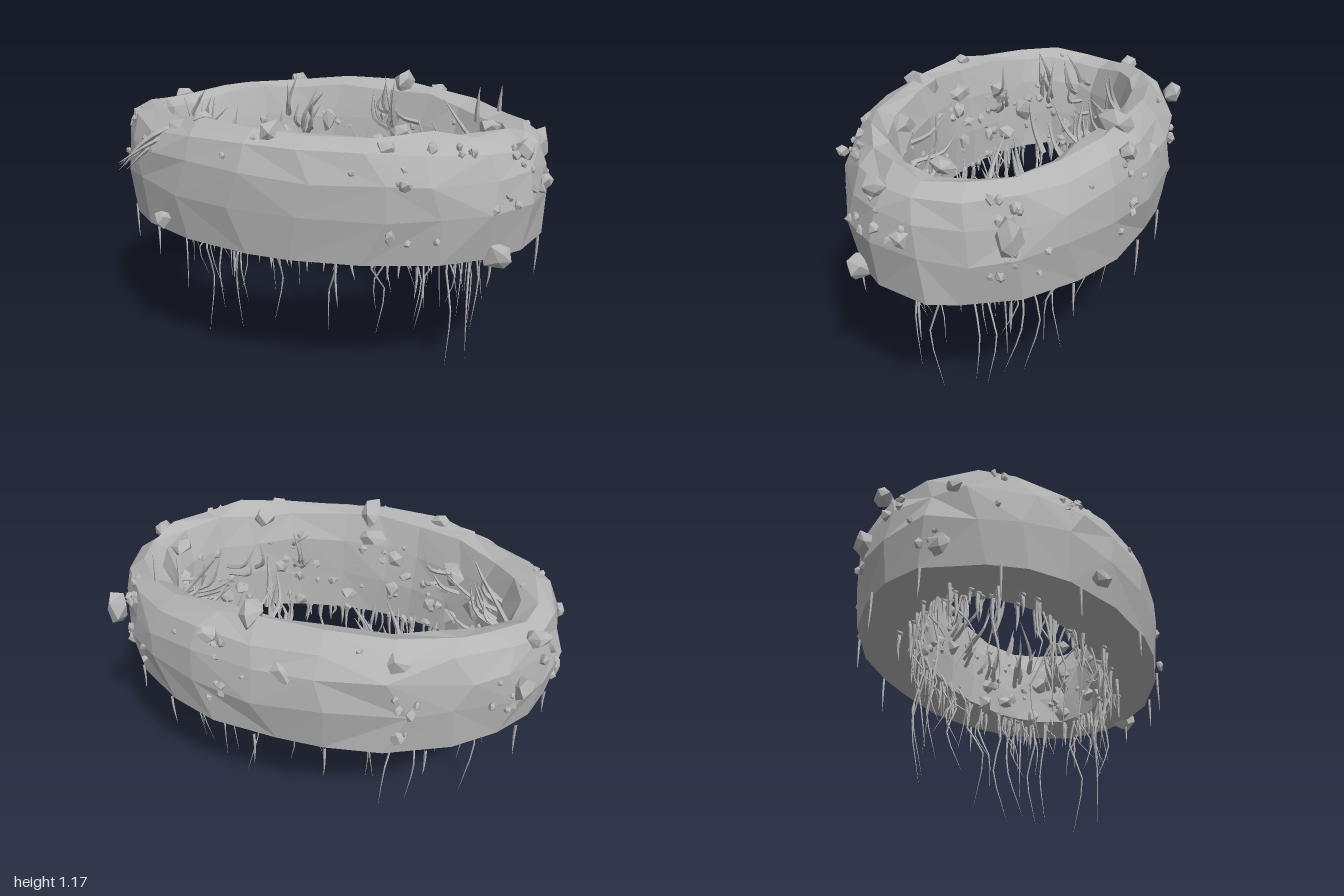
import * as THREE from 'three';
import { mergeGeometries } from 'three/addons/utils/BufferGeometryUtils.js';
import { ConvexGeometry } from 'three/addons/geometries/ConvexGeometry.js';

let seed = 7;
const rnd = () => {
  seed = (seed * 16807) % 2147483647;
  return seed / 2147483647;
};
const spread = (s) => (rnd() * 2 - 1) * s;
const V = (x, y, z) => new THREE.Vector3(x, y, z);

// Cross-section: inset from the outer ellipse, and height (0 = underside, 1 = crest)
const OUTER_X = 0.96, OUTER_Z = 0.645, BASE = 0.615;
const PROFILE = [
  [0.025, 0], [0, 0.4], [0.012, 0.68], [0.05, 0.88], [0.12, 1],
  [0.19, 0.94], [0.235, 0.68], [0.265, 0.35], [0.275, 0],
];
const crest = (a) => 0.475 - 0.025 * Math.cos(2 * a) + 0.012 * Math.sin(3 * a);

// Point on the ring at angle a and profile position k
function surface(a, k) {
  const i = Math.min(Math.floor(k), PROFILE.length - 2), f = k - i;
  const inset = THREE.MathUtils.lerp(PROFILE[i][0], PROFILE[i + 1][0], f);
  const h = THREE.MathUtils.lerp(PROFILE[i][1], PROFILE[i + 1][1], f);
  return V((OUTER_X - inset) * Math.cos(a), BASE + h * crest(a), (OUTER_Z - inset) * Math.sin(a));
}

// Faceted, uneven ring with a flat underside
function ringGeometry() {
  const SEG = 22, N = PROFILE.length, rows = [];
  for (let s = 0; s < SEG; s++) {
    const a0 = (s / SEG) * Math.PI * 2;
    rows.push(PROFILE.map((_, k) => {
      const edge = k === 0 || k === N - 1;
      const p = surface(a0 + spread(0.06), k);
      const m = 1 + spread(0.014);
      return V(p.x * m, edge ? BASE : p.y + spread(0.018), p.z * m);
    }));
  }
  const pos = [];
  const tri = (...c) => c.forEach((p) => pos.push(p.x, p.y, p.z));
  for (let s = 0; s < SEG; s++) {
    const A = rows[s], B = rows[(s + 1) % SEG];
    for (let k = 0; k < N; k++) {
      const n = (k + 1) % N;
      if (rnd() < 0.5) { tri(A[k], A[n], B[n]); tri(A[k], B[n], B[k]); }
      else { tri(A[k], A[n], B[k]); tri(B[k], A[n], B[n]); }
    }
  }
  const g = new THREE.BufferGeometry();
  g.setAttribute('position', new THREE.Float32BufferAttribute(pos, 3));
  g.computeVertexNormals();
  return g;
}

// Angular boulder: hull of jittered points on an ellipsoid
function rock(p, sx, sy = sx, sz = sx, count = 13) {
  const pts = [];
  const turn = new THREE.Euler(spread(0.5), spread(3), spread(0.5));
  for (let i = 0; i < count; i++) {
    const y = 1 - (2 * (i + 0.5)) / count, r = Math.sqrt(1 - y * y), a = i * 2.4 + spread(0.35);
    const q = V(r * Math.cos(a), y, r * Math.sin(a)).multiplyScalar(0.9 + spread(0.14));
    if (sx === sz) q.applyEuler(turn);
    pts.push(q.multiply(V(sx, sy, sz)).add(p));
  }
  return new ConvexGeometry(pts);
}

// Strand that tapers to a point along a path
function strand(points, radius, sides = 4) {
  const path = new THREE.CatmullRomCurve3(points), n = 7;
  const g = new THREE.TubeGeometry(path, n, radius, sides);
  const pos = g.attributes.position, v = V();
  for (let i = 0; i < pos.count; i++) {
    const t = Math.floor(i / (sides + 1)) / n, c = path.getPointAt(t);
    v.fromBufferAttribute(pos, i).sub(c).multiplyScalar(1 - 0.95 * t * t).add(c);
    pos.setXYZ(i, v.x, v.y, v.z);
  }
  return g;
}

export function createModel() {
  seed = 7;
  const group = new THREE.Group();
  group.name = 'rockRing';
  const stone = new THREE.MeshStandardMaterial({ color: 0xb4b4b4, flatShading: true });
  stone.name = 'grey stone';
  const add = (name, geometries) => {
    const m = new THREE.Mesh(mergeGeometries(geometries), stone);
    m.name = name;
    group.add(m);
  };
  add('ring', [ringGeometry()]);

  // Large boulders: x, y, z, then half sizes
  const boulders = [
    [-0.04, 1.07, 0.49, 0.065, 0.07, 0.1], [0.2, 1.12, -0.49, 0.05, 0.07, 0.1],
    [0.87, 0.92, -0.33, 0.05, 0.09, 0.06], [0.82, 0.63, 0.31, 0.065, 0.065, 0.065],
    [0.95, 0.87, 0.05, 0.035, 0.045, 0.045], [0.88, 1.02, 0.18, 0.05, 0.05, 0.05],
    [0.43, 1.08, 0.32, 0.055, 0.05, 0.05], [0.42, 1.06, 0.49, 0.05, 0.035, 0.035],
    [-0.08, 1.04, 0.33, 0.08, 0.04, 0.05], [-0.39, 1.07, -0.58, 0.06, 0.05, 0.045],
    [0.34, 1.07, -0.59, 0.055, 0.04, 0.04], [-0.86, 1.03, -0.24, 0.055, 0.04, 0.05],
    [-0.53, 0.68, 0.55, 0.045, 0.045, 0.045], [-0.49, 1.04, 0.44, 0.07, 0.05, 0.05],
    [0.52, 0.95, 0.56, 0.032, 0.032, 0.03], [0.47, 0.75, 0.58, 0.025, 0.035, 0.02],
    [-0.93, 0.95, 0.1, 0.03, 0.04, 0.04], [-0.96, 0.68, 0.06, 0.03, 0.05, 0.05],
    [0.8, 0.97, 0.2, 0.06, 0.03, 0.09], [0.7, 1.06, 0.0, 0.05, 0.035, 0.06],
    [-0.37, 1.1, 0.45, 0.05, 0.035, 0.04], [0.05, 0.95, -0.6, 0.07, 0.07, 0.05],
    [-0.4, 0.7, -0.56, 0.045, 0.045, 0.04], [-0.84, 0.85, -0.33, 0.05, 0.06, 0.05],
  ];
  add('boulders', boulders.map(([x, y, z, ...s]) => rock(V(x, y, z), ...s, 12)));

  // Rubble covering the inner wall, thickest towards the bottom
  const rubble = [];
  for (let i = 0; i < 130; i++) {
    const r = 0.012 + 0.038 * rnd() ** 2;
    const p = surface(rnd() * Math.PI * 2, 5.6 + 2.3 * rnd() ** 0.8);
    rubble.push(rock(p, r * 1.15, r * (0.8 + rnd() * 0.8), r * 1.15, 10));
  }
  add('innerRubble', rubble);

  // Small stones in clusters over the outside
  const pebbles = [];
  const clusters = [[-0.45, 0.9], [-0.5, 3], [-1.2, 1], [0.35, 2.8], [0.5, 1.2], [3.4, 2.2],
    [3.8, 1], [2.7, 3.2], [4.3, 1.4], [5, 2.3], [0.15, 1.8], [5.7, 2.6], [3.14, 0.6], [0.75, 3.2]];
  for (const [a, k] of clusters) {
    for (let i = 0; i < 4; i++) {
      const r = 0.012 + 0.016 * rnd();
      pebbles.push(rock(surface(a + spread(0.12), Math.max(0, k + spread(0.4))), r, r * 1.2, r, 9));
    }
  }
  for (let i = 0; i < 22; i++) pebbles.push(rock(surface(rnd() * 6.28, 0.3 + rnd() * 5), 0.016, 0.018, 0.016, 9));
  add('pebbles', pebbles);

  // Chips and short stalactites along the underside
  const chips = [], spikes = [];
  for (let i = 0; i < 110; i++) {
    const a = rnd() * Math.PI * 2, p = surface(a, 8);
    const m = 1 + 0.2 * rnd() ** 2;
    p.set(p.x * m, BASE, p.z * m);
    if (i % 2) chips.push(rock(p, 0.014 + 0.014 * rnd(), 0.026, 0.018, 9));
    const len = 0.05 + 0.11 * rnd();
    spikes.push(strand([p, V(p.x + spread(0.008), BASE - len * 0.5, p.z + spread(0.008)),
      V(p.x + spread(0.015), BASE - len, p.z)], 0.009));
  }
  for (let i = 0; i < 14; i++) {
    const p = surface(i * 0.45 + spread(0.1), 0);
    spikes.push(strand([p, V(p.x, 0.55, p.z), V(p.x + spread(0.01), 0.43 + 0.07 * rnd(), p.z)], 0.006));
  }
  add('undersideChips', chips);
  add('stalactites', spikes);

  // Long hanging roots: x, side (front +1 or back -1), tip height
  const roots = [
    [-0.66, -1, 0.02], [-0.64, 1, 0.15], [-0.47, 1, 0.03], [-0.42, -1, 0.02], [-0.4, 1, 0.17],
    [-0.31, -1, 0.02], [-0.28, 1, 0.1], [-0.27, -1, 0.18], [-0.22, -1, 0.15], [-0.1, 1, 0.18],
    [0.0, -1, 0.35], [0.11, -1, 0.2], [0.16, 1, 0.17], [0.31, -1, 0.1], [0.35, 1, 0.18],
    [0.38, -1, 0.16], [0.47, -1, 0.05], [0.5, 1, 0.2], [0.55, -1, 0.09], [0.6, -1, 0.2],
    [0.61, 1, 0.04], [0.64, -1, 0.06], [0.68, 1, 0.01], [0.68, -1, 0.08],
  ];
  const hanging = [];
  const hang = (x, side, tip, radius) => {
    const z = side * 0.375 * Math.sqrt(Math.max(0, 1 - (x / 0.7) ** 2));
    const pts = [0, 0.3, 0.55, 1].map((t) =>
      V(x + spread(0.03) * (t > 0), THREE.MathUtils.lerp(0.65, tip, t), z * (1 - 0.08 * t) + spread(0.045) * (t > 0)));
    hanging.push(strand(pts, radius));
  };
  for (const [x, side, tip] of roots) hang(x, side, tip, 0.0055);
  for (let i = 0; i < 40; i++) hang(0.7 * Math.cos(rnd() * Math.PI), i % 2 ? 1 : -1, 0.25 + 0.2 * rnd(), 0.005);
  add('hangingRoots', hanging);

  // Tufts of curved blades leaning in from the inner wall: angle, blade count
  const blades = [];
  const tufts = [[-2.05, 9], [-1.3, 8], [-1.0, 5], [2.75, 6], [2.3, 4], [1.1, 4], [-0.05, 7], [3.3, 6], [0.7, 3], [-0.5, 5]];
  for (const [a, count] of tufts) {
    for (let i = 0; i < count; i++) {
      const p = surface(a + spread(0.15), 6.4 + spread(0.6));
      const lean = 0.05 + 0.13 * rnd(), up = 0.08 + 0.16 * rnd();
      const inward = V(-p.x * 0.7, 0, -p.z).normalize();
      const mid = p.clone().addScaledVector(inward, lean * 0.75).add(V(spread(0.03), up * 0.35, 0));
      const tip = p.clone().addScaledVector(inward, lean).add(V(spread(0.07), up, spread(0.03)));
      blades.push(strand([p, mid, tip], 0.011));
    }
  }
  // Crest thorns
  for (const [x, y, z] of [[0.24, 1.06, -0.15], [0.69, 1.06, -0.27], [0.6, 1.05, -0.24], [0.17, 1.0, -0.35]]) {
    blades.push(strand([V(x, y - 0.1, z - 0.06), V(x, y, z - 0.02), V(x + 0.01, y + 0.12, z)], 0.014));
  }
  add('blades', blades);

  // Bundle of twigs lying diagonally over the front shoulder
  const twigs = [];
  for (let i = 0; i < 11; i++) {
    const o = V(spread(0.03), spread(0.03), spread(0.025));
    twigs.push(strand([V(-0.46, 1.06, 0.4).add(o), V(-0.6 + spread(0.02), 0.99, 0.475).add(o),
      V(-0.73 + spread(0.03), 0.88 + spread(0.03), 0.49).add(o)], 0.011));
  }
  add('twigBundle', twigs);
  return group;
}
